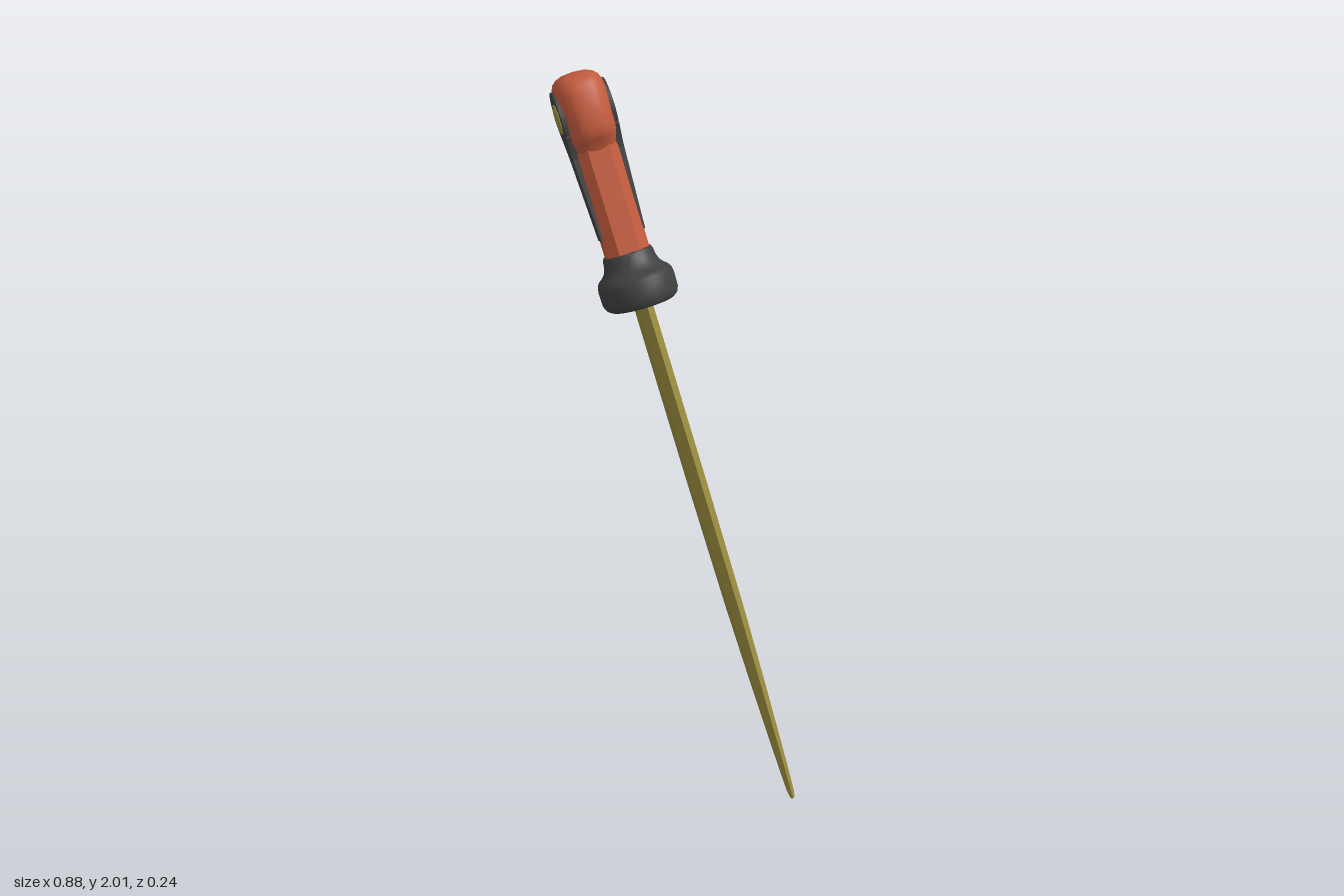
import * as THREE from 'three';
import { toCreasedNormals } from 'three/addons/utils/BufferGeometryUtils.js';

const RED = 0xc25a3c, DARK = 0x404040, GOLD = 0x988a3e;

// Unit cross-section: rounded outline, n = 2 is an ellipse, higher is squarer
function rounded(n, count) {
  return Array.from({ length: count }, (_, i) => {
    const a = (i / count) * Math.PI * 2, c = Math.cos(a), s = Math.sin(a);
    return [Math.sign(c) * Math.abs(c) ** (2 / n), Math.sign(s) * Math.abs(s) ** (2 / n)];
  });
}

// Skin a unit section through rings of [height, halfWidth, halfDepth]
function loft(rings, section, crease) {
  const pos = [], index = [], n = section.length;
  for (const [y, w, d] of rings) for (const [x, z] of section) pos.push(x * w, y, z * d);
  for (let r = 0; r < rings.length - 1; r++) {
    for (let i = 0; i < n; i++) {
      const a = r * n + i, b = r * n + (i + 1) % n;
      if (rings[r][1] > 0) index.push(a, a + n, b);
      if (rings[r + 1][1] > 0) index.push(b, a + n, b + n);
    }
  }
  const geo = new THREE.BufferGeometry();
  geo.setAttribute('position', new THREE.Float32BufferAttribute(pos, 3));
  geo.setIndex(index);
  geo.computeVertexNormals();
  return toCreasedNormals(geo, crease);
}

function part(name, geo, color) {
  const mesh = new THREE.Mesh(geo, new THREE.MeshStandardMaterial({ color }));
  mesh.name = name;
  return mesh;
}

// Keyhole inlay through the grip: long strip with a round head, thicker at the head
function inlayGeometry() {
  const s = new THREE.Shape();
  s.moveTo(-0.028, 1.53);
  s.lineTo(0.028, 1.53);
  s.lineTo(0.03, 1.76);
  s.quadraticCurveTo(0.033, 1.79, 0.05, 1.825);
  s.absellipse(0, 1.875, 0.062, 0.077, -0.65, Math.PI + 0.65, false, 0);
  s.quadraticCurveTo(-0.033, 1.79, -0.03, 1.76);
  s.closePath();
  const geo = new THREE.ExtrudeGeometry(s, {
    depth: 2, bevelEnabled: false, curveSegments: 24,
  });
  geo.translate(0, 0, -1);
  const p = geo.attributes.position;
  for (let i = 0; i < p.count; i++) {
    const k = THREE.MathUtils.smoothstep(p.getY(i), 1.53, 1.86);
    p.setZ(i, p.getZ(i) * (0.063 + 0.012 * k));
  }
  geo.computeVertexNormals();
  return geo;
}

export function createModel() {
  const dagger = new THREE.Group();
  dagger.name = 'dagger';

  // Blade: flat faces with bevelled edges
  const hex = [[1, 0], [0.5, 1], [-0.5, 1], [-1, 0], [-0.5, -1], [0.5, -1]];
  dagger.add(part('blade', loft([
    [-0.165, 0, 0], [-0.16, 0.007, 0.006], [-0.14, 0.012, 0.009], [-0.08, 0.021, 0.011],
    [0.05, 0.034, 0.014], [0.2, 0.047, 0.017], [0.427, 0.066, 0.02],
    [0.8, 0.069, 0.022], [1.4, 0.066, 0.022],
  ], hex, 0.35), GOLD));

  // Guard: oval rim sweeping up to a collar
  dagger.add(part('guard', loft([
    [1.335, 0, 0], [1.332, 0.1, 0.075], [1.333, 0.117, 0.09], [1.34, 0.126, 0.1],
    [1.354, 0.132, 0.106], [1.395, 0.133, 0.107], [1.41, 0.129, 0.104],
    [1.419, 0.118, 0.098], [1.427, 0.1, 0.088], [1.438, 0.085, 0.079],
    [1.455, 0.077, 0.073], [1.474, 0.073, 0.071], [1.481, 0.069, 0.067], [1.481, 0, 0],
  ], rounded(2.1, 48), 0.9), DARK));

  // Grip: chamfered bar
  const bar = [[1, 0.5], [0.5, 1], [-0.5, 1], [-1, 0.5], [-1, -0.5], [-0.5, -1], [0.5, -1], [1, -0.5]];
  dagger.add(part('grip', loft([
    [1.46, 0.053, 0.06], [1.62, 0.052, 0.06], [1.84, 0.054, 0.062],
  ], bar, 0.35), RED));

  // Pommel: rounded block flaring out of the grip
  dagger.add(part('pommel', loft([
    [1.765, 0.05, 0.055], [1.785, 0.062, 0.061], [1.8, 0.079, 0.065], [1.815, 0.09, 0.068],
    [1.835, 0.096, 0.07], [1.88, 0.1, 0.072], [1.925, 0.099, 0.072], [1.95, 0.092, 0.069],
    [1.967, 0.081, 0.062], [1.978, 0.064, 0.05], [1.985, 0.04, 0.032], [1.988, 0, 0],
  ], rounded(2.6, 48), 0.9), RED));

  // Inlay and oval studs on both faces
  dagger.add(part('inlay', inlayGeometry(), DARK));
  for (const side of [1, -1]) {
    const stud = part(side > 0 ? 'frontStud' : 'backStud', loft([
      [-0.01, 0.034, 0.042], [0.002, 0.034, 0.042], [0.005, 0.028, 0.036], [0.006, 0, 0],
    ], rounded(2, 32), 0.5), GOLD);
    stud.position.set(0, 1.877, side * 0.075);
    stud.rotation.x = side * Math.PI / 2;
    dagger.add(stud);
  }

  // Lean the whole dagger and turn it about its own axis
  const up = new THREE.Vector3(-0.375, 0.927, 0.015).normalize();
  const across = new THREE.Vector3(0.927, 0.375, 0).normalize();
  const out = new THREE.Vector3().crossVectors(across, up);
  dagger.quaternion.setFromRotationMatrix(new THREE.Matrix4().makeBasis(across, up, out));
  dagger.rotateY(-THREE.MathUtils.degToRad(34));
  dagger.position.set(0.373, 0.153, -0.021);

  const model = new THREE.Group();
  model.name = 'model';
  model.add(dagger);
  return model;
}
